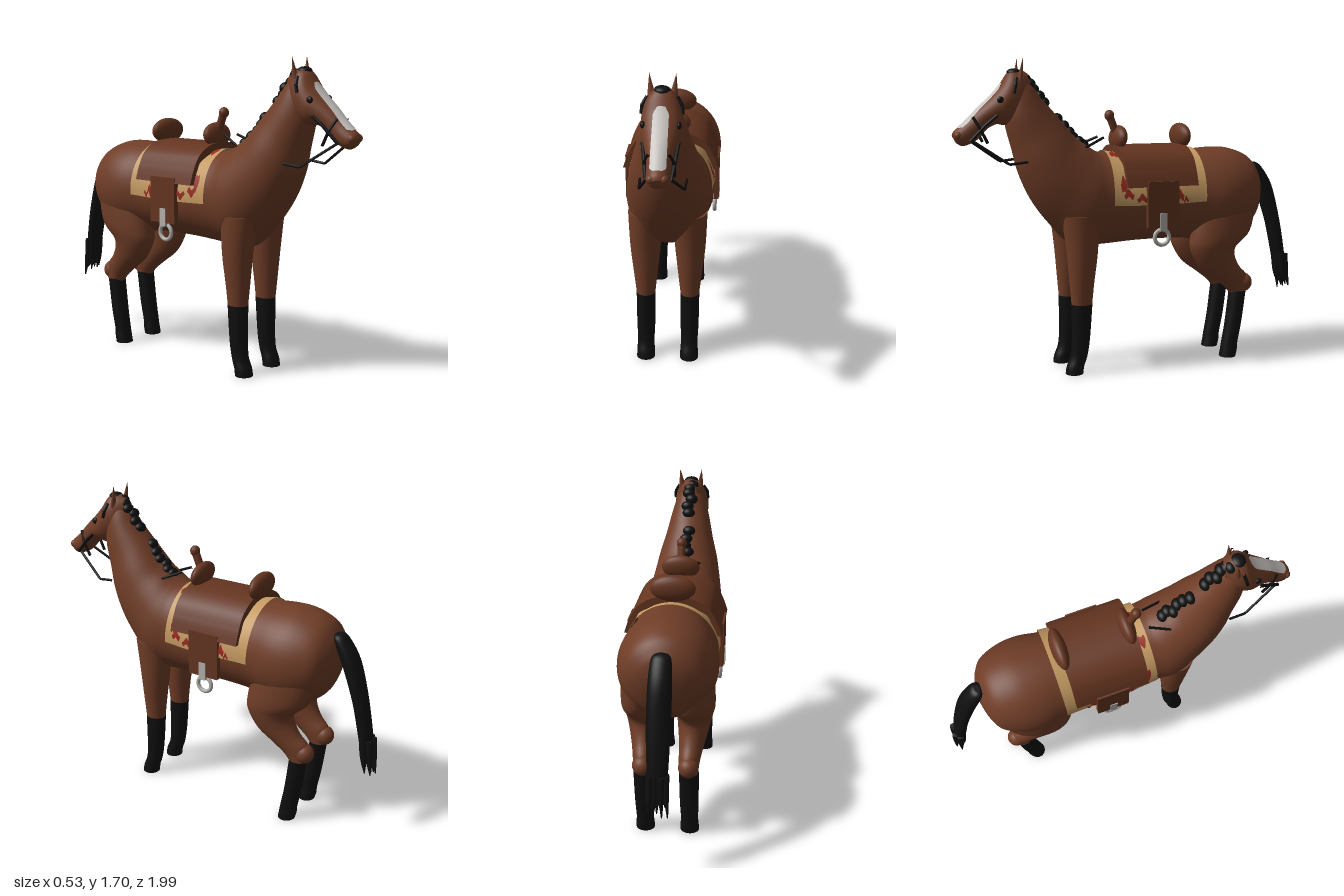
import * as THREE from 'three';

const mat = (name, color, side = THREE.FrontSide) => {
  const m = new THREE.MeshStandardMaterial({ color, side });
  m.name = name;
  return m;
};

// Smooth value of section list at fractional index u (uniform Catmull-Rom)
function sample(secs, u) {
  const n = secs.length - 1;
  const i = Math.min(Math.floor(u), n - 1), f = u - i;
  const [a, b, c, d] = [i - 1, i, i + 1, i + 2].map(k => secs[Math.max(0, Math.min(n, k))]);
  return b.map((_, k) => 0.5 * (2 * b[k] + (c[k] - a[k]) * f
    + (2 * a[k] - 5 * b[k] + 4 * c[k] - d[k]) * f * f
    + (3 * b[k] - a[k] - 3 * c[k] + d[k]) * f * f * f));
}

// A section is [zTop, yTop, zBottom, yBottom, halfWidth, xCentre]
function ringPoint(s, t, off = 0) {
  const dz = (s[0] - s[2]) / 2, dy = (s[1] - s[3]) / 2;
  const k = 1 + off / Math.max(0.01, Math.hypot(dz, dy));
  return [s[5] + Math.sin(t) * (s[4] + off),
    (s[1] + s[3]) / 2 + Math.cos(t) * dy * k,
    (s[0] + s[2]) / 2 + Math.cos(t) * dz * k];
}

function makeGeometry(pos, idx) {
  const g = new THREE.BufferGeometry();
  g.setAttribute('position', new THREE.Float32BufferAttribute(pos, 3));
  g.setIndex(idx);
  g.computeVertexNormals();
  return g;
}

// Closed, capped skin through elliptical sections
function loft(secs, sides = 32, steps = 5) {
  const pos = [], idx = [], rows = (secs.length - 1) * steps;
  const ring = u => {
    const s = sample(secs, u);
    for (let j = 0; j < sides; j++) pos.push(...ringPoint(s, j / sides * Math.PI * 2));
    return s;
  };
  for (let i = 0; i <= rows; i++) ring(i / steps);
  for (let i = 0; i < rows; i++) for (let j = 0; j < sides; j++) {
    const a = i * sides + j, b = i * sides + (j + 1) % sides;
    idx.push(a, a + sides, b, b, a + sides, b + sides);
  }
  for (const end of [0, 1]) {
    const base = pos.length / 3;
    const s = ring(end * (secs.length - 1));
    pos.push(s[5], (s[1] + s[3]) / 2, (s[0] + s[2]) / 2);
    for (let j = 0; j < sides; j++) {
      const a = base + j, b = base + (j + 1) % sides;
      idx.push(base + sides, end ? b : a, end ? a : b);
    }
  }
  return makeGeometry(pos, idx);
}

// Thin sheet hugging a loft; angle(s, v, halfWidth) gives the place around it
function patch(secs, u0, u1, off, angle, nu = 24, nv = 32) {
  const pos = [], idx = [];
  for (let i = 0; i <= nu; i++) {
    const sec = sample(secs, u0 + (u1 - u0) * i / nu);
    for (let j = 0; j <= nv; j++)
      pos.push(...ringPoint(sec, angle(i / nu, j / nv * 2 - 1, sec[4]), off));
  }
  for (let i = 0; i < nu; i++) for (let j = 0; j < nv; j++) {
    const a = i * (nv + 1) + j, c = a + nv + 1;
    idx.push(a, c, a + 1, a + 1, c, c + 1);
  }
  return makeGeometry(pos, idx);
}

const centred = secs => secs.map(s => [...s, 0]);
const atX = (secs, side) => secs.map(s => [...s.slice(0, 5), s[5] * side]);

const TORSO = centred([
  [-.764, 1.01, -.764, .98, .01], [-.755, 1.05, -.752, .92, .075], [-.735, 1.10, -.73, .84, .14],
  [-.68, 1.165, -.69, .755, .205], [-.57, 1.205, -.58, .685, .25], [-.46, 1.21, -.46, .67, .26],
  [-.34, 1.20, -.33, .69, .238], [-.2, 1.18, -.2, .70, .232], [0, 1.175, 0, .70, .228],
  [.18, 1.195, .2, .69, .215], [.24, 1.215, .36, .69, .222], [.29, 1.25, .49, .82, .205],
  [.34, 1.285, .585, .95, .188], [.39, 1.34, .65, 1.09, .167], [.45, 1.41, .685, 1.22, .138],
  [.52, 1.49, .715, 1.33, .115], [.58, 1.57, .72, 1.38, .095], [.63, 1.62, .71, 1.42, .075]]);

const HEAD = centred([
  [.60, 1.625, .58, 1.5, .04], [.65, 1.643, .62, 1.40, .08], [.70, 1.632, .67, 1.37, .095],
  [.75, 1.56, .725, 1.355, .098], [.80, 1.505, .77, 1.36, .085], [.865, 1.445, .82, 1.335, .068],
  [.92, 1.39, .86, 1.29, .058], [.965, 1.35, .905, 1.262, .055], [.99, 1.33, .95, 1.25, .048],
  [1.0, 1.31, .98, 1.265, .028]]);

const FORELEG = [[.45, .87, .24, .87, .095, .115], [.425, .68, .255, .66, .082, .12],
  [.41, .5, .275, .5, .064, .12], [.4, .375, .287, .375, .05, .12]];
const FORE_SOCK = [[.402, .385, .285, .385, .052, .12], [.4, .2, .3, .2, .05, .12],
  [.408, .1, .315, .1, .046, .12], [.43, .04, .335, .04, .049, .12], [.437, 0, .34, 0, .05, .12]];
const HINDLEG = [[-.33, .88, -.7, .9, .11, .13], [-.3, .72, -.66, .74, .11, .135],
  [-.3, .64, -.575, .655, .095, .135], [-.36, .535, -.57, .6, .08, .13],
  [-.45, .465, -.605, .53, .064, .125], [-.52, .41, -.655, .475, .055, .12],
  [-.555, .37, -.66, .39, .048, .12]];
const HIND_SOCK = [[-.553, .385, -.65, .385, .052, .12], [-.53, .2, -.625, .2, .05, .12],
  [-.508, .08, -.603, .08, .046, .12], [-.502, .04, -.6, .04, .049, .12], [-.495, 0, -.59, 0, .05, .12]];
const TAIL = centred([[-.735, 1.112, -.765, 1.115, .02], [-.72, 1.085, -.8, 1.09, .05],
  [-.78, .95, -.87, .98, .06], [-.85, .76, -.925, .78, .06], [-.895, .56, -.968, .56, .052],
  [-.92, .44, -.978, .44, .045]]);

export function createModel() {
  const root = new THREE.Group();
  const coat = mat('brown coat', 0x6f3d27), black = mat('black hair', 0x0f0f0f);
  const leather = mat('saddle leather', 0x653520), silver = mat('silver metal', 0xb4b2ae);
  const cloth = mat('tan cloth', 0xc49a62, THREE.DoubleSide);
  const red = mat('red pattern', 0x96291f, THREE.DoubleSide);
  const white = mat('white blaze', 0xc8c4c0, THREE.DoubleSide);

  const add = (name, geo, m, p = [0, 0, 0], scale = [1, 1, 1], rot = [0, 0, 0]) => {
    const mesh = new THREE.Mesh(geo, m);
    mesh.name = name;
    mesh.position.set(...p);
    mesh.scale.set(...scale);
    mesh.rotation.set(...rot);
    root.add(mesh);
  };
  const ball = new THREE.SphereGeometry(1, 24, 16);
  const tube = (name, pts, r, m) => {
    const path = new THREE.CurvePath();
    const v = pts.map(p => new THREE.Vector3(...p));
    for (let i = 1; i < v.length; i++) path.add(new THREE.LineCurve3(v[i - 1], v[i]));
    add(name, new THREE.TubeGeometry(path, 24, r, 8), m);
  };

  // Body, head and face
  add('body', loft(TORSO, 48), coat);
  add('head', loft(HEAD, 36), coat);
  add('blaze', patch(HEAD, 2.85, 7.2, .004, (s, v, hw) =>
    Math.asin(Math.min(1, .036 * v * Math.min(1, .5 + 6 * Math.min(s, 1 - s)) / hw)), 30, 10), white);

  for (const side of [1, -1]) {
    // Legs
    add('foreleg', loft(atX(FORELEG, side)), coat);
    add('foreleg sock', loft(atX(FORE_SOCK, side)), black);
    add('hind leg', loft(atX(HINDLEG, side)), coat);
    add('hock', ball, coat, [.12 * side, .43, -.635], [.053, .055, .055]);
    add('hind leg sock', loft(atX(HIND_SOCK, side)), black);
    // Ears, eyes, nostrils
    add('ear', new THREE.ConeGeometry(.028, .15, 16), coat, [.056 * side, 1.628, .645], [1, 1, .75], [-.12, 0, -.1 * side]);
    add('eye', ball, black, [.084 * side, 1.488, .762], [.012, .018, .018]);
    add('nostril', ball, coat, [.03 * side, 1.305, .975], [.022, .022, .022]);
    // Bridle and reins
    tube('browband', [[.07 * side, 1.6, .675], [.094 * side, 1.56, .685], [.096 * side, 1.52, .695]], .009, black);
    tube('cheek strap', [[.084 * side, 1.41, .78], [.074 * side, 1.36, .84], [.058 * side, 1.275, .92]], .009, black);
    tube('noseband', [[.045 * side, 1.4, .9], [.068 * side, 1.345, .87], [.066 * side, 1.265, .83]], .008, black);
    tube('front rein', [[.055 * side, 1.28, .91], [.11 * side, 1.155, .727], [.115 * side, 1.166, .63]], .007, black);
    tube('back rein', [[.087 * side, 1.225, .315], [.05 * side, 1.28, .19]], .007, black);
    // Stirrup set
    add('fender', new THREE.BoxGeometry(.03, .25, .18), leather, [.246 * side, .925, -.08]);
    add('stirrup strap', new THREE.BoxGeometry(.03, .1, .04), silver, [.25 * side, .83, -.077]);
    add('stirrup ring', new THREE.TorusGeometry(.042, .011, 12, 32), silver,
      [.238 * side, .745, -.077], [1, 1, 1], [0, Math.PI / 2, 0]);
    // Cloth pattern: [u, length, angle, spread]
    for (const [u, l, t, w] of [[8.68, .2, 1.2, .17], [8.55, .3, 1.4, .08], [8.18, .32, 1.48, .07],
      [7.1, .26, 1.46, .1], [6.9, .2, 1.55, .05], [8.77, .28, .35, .13]])
      add('cloth pattern', patch(TORSO, u - l / 2, u + l / 2, .018, (s, v) =>
        side * t + w * v * Math.sqrt(Math.sin(Math.PI * s) + 1e-9) + .04 * Math.sin(s * 9), 10, 6), red);
  }

  // Mane tufts, sunk into the crest
  for (const [from, to, n] of [[11.1, 13.8, 6], [14.9, 17, 6]])
    for (let i = 0; i < n; i++) {
      const s = sample(TORSO, from + (to - from) * i / (n - 1));
      add('mane tuft', ball, black, [.012 * Math.sin(i * 2.3), s[1] - .012, s[0] - .004], [.036, .03, .03]);
    }
  add('forelock', ball, black, [0, 1.628, .67], [.04, .022, .038]);

  // Tail with loose strand ends
  add('tail', loft(TAIL, 24), black);
  for (let i = 0; i < 9; i++) {
    const x = (i - 4) * .0115, z = -.95 + .022 * Math.sin(i * 2.4), drop = .335 + .05 * Math.abs(Math.sin(i * 1.7));
    add('tail strand', loft([[z + .028, .56, z - .012, .56, .014, x], [z + .014, .45, z - .02, .45, .013, x],
      [z - .014, drop, z - .02, drop, .003, x * 1.15]], 8, 4), black);
  }

  // Saddle cloth
  add('saddle cloth', patch(TORSO, 5.96, 9, .013, (s, v) => v * 1.63, 24, 48), cloth);

  // Saddle skirt: an arched slab run along the back
  const outer = [[0, 1.237], [.1, 1.224], [.185, 1.175], [.232, 1.1], [.26, 1.022]];
  const arch = new THREE.Shape();
  const right = outer.slice(1).reverse().map(([x, y]) => new THREE.Vector2(-x, y));
  const top = [...right, ...outer.map(([x, y]) => new THREE.Vector2(x, y))];
  arch.moveTo(top[0].x, top[0].y);
  arch.splineThru(top.slice(1));
  arch.lineTo(.232, 1.022);
  arch.splineThru([[.205, 1.09], [.16, 1.15], [0, 1.2], [-.16, 1.15], [-.205, 1.09], [-.232, 1.022]]
    .map(p => new THREE.Vector2(...p)));
  add('saddle skirt', new THREE.ExtrudeGeometry(arch, { depth: .41, bevelEnabled: false, curveSegments: 16 }),
    leather, [0, 0, -.285]);

  // Pommel, horn and cantle
  add('pommel', ball, leather, [0, 1.275, .088], [.105, .068, .04], [-.15, 0, 0]);
  tube('horn', [[0, 1.3, .1], [0, 1.395, .137]], .022, leather);
  add('horn cap', ball, leather, [0, 1.397, .138], [.028, .03, .027]);
  add('cantle', ball, leather, [0, 1.28, -.285], [.12, .07, .042]);

  return root;
}
